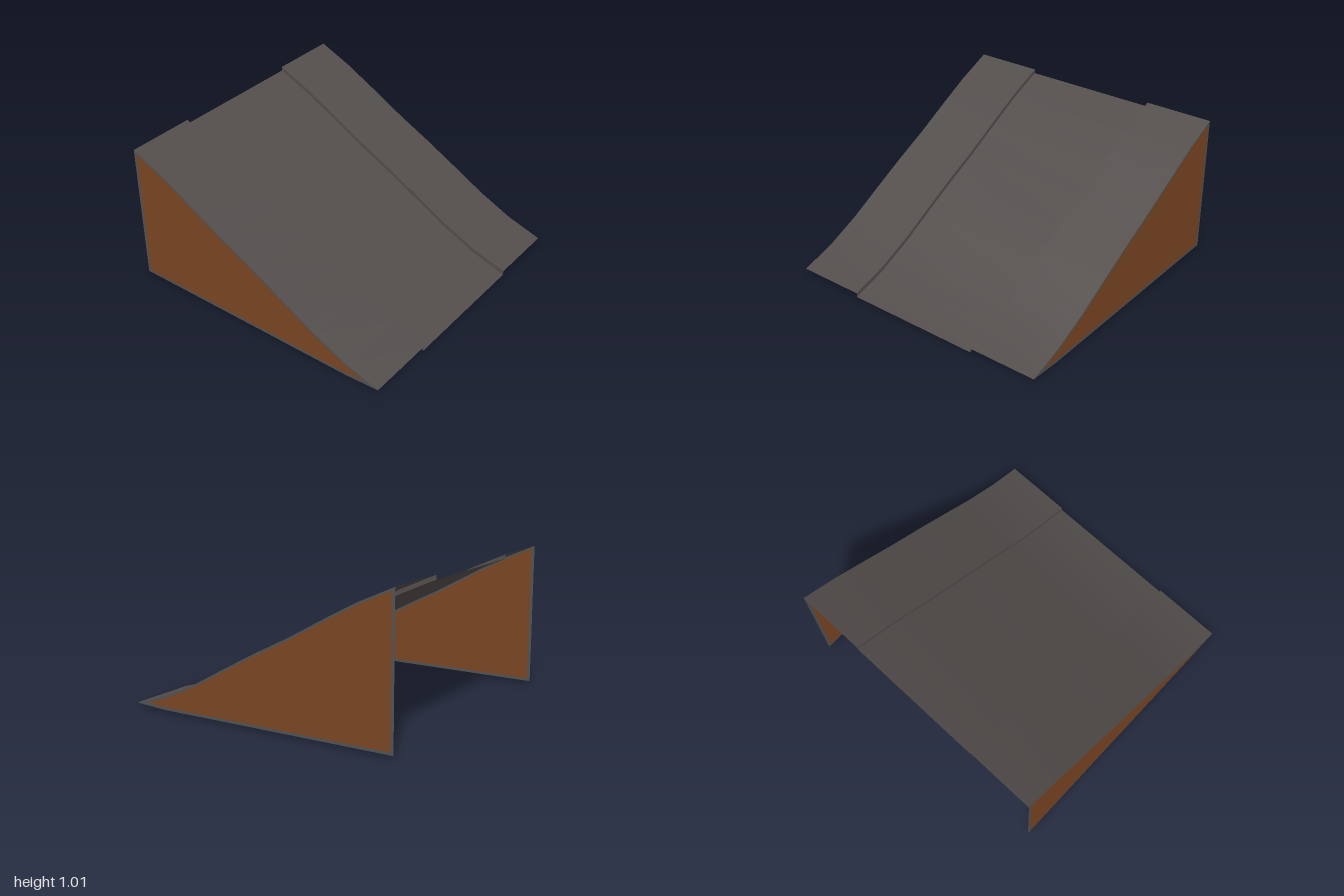
import * as THREE from 'three';

// Slope of the ramp's raised edge, from the high end to the low end
const slope = [[-1, 1.015], [-0.75, 0.902], [-0.5, 0.767], [-0.25, 0.627], [0, 0.5],
  [0.25, 0.364], [0.5, 0.225], [0.75, 0.11], [1, 0.03]];
const DROP = 0.03;   // how far the roadway sits below the shoulders
const TRIM = 0.015;  // width of the border on the side walls

// Sheet running down the slope between two long edges
function strip(zA, dropA, zB, dropB) {
  const pos = [], index = [];
  slope.forEach(([x, y], i) => {
    pos.push(x, y - dropA, zA, x, y - dropB, zB);
    if (i) {
      const a = 2 * i - 2;
      index.push(a, a + 1, a + 2, a + 1, a + 3, a + 2);
    }
  });
  const geo = new THREE.BufferGeometry();
  geo.setAttribute('position', new THREE.Float32BufferAttribute(pos, 3));
  geo.setIndex(index);
  geo.computeVertexNormals();
  return geo;
}

export function createModel() {
  const material = (name, color) =>
    new THREE.MeshStandardMaterial({ name, color, side: THREE.DoubleSide });
  const asphalt = material('asphalt grey', 0x524d4b);
  const trim = material('trim grey', 0x505254);
  const earth = material('earth brown', 0x7a4522);

  const model = new THREE.Group();
  model.name = 'ramp';
  const add = (name, geo, mat, z = 0) => {
    const mesh = new THREE.Mesh(geo, mat);
    mesh.name = name;
    mesh.position.z = z;
    model.add(mesh);
  };

  // Sunken roadway, raised shoulders and the small kerbs between them
  add('roadway', strip(-0.5, DROP, 0.5, DROP), asphalt);
  add('frontShoulder', strip(0.5, 0, 1, 0), asphalt);
  add('backShoulder', strip(-1, 0, -0.5, 0), asphalt);
  add('frontKerb', strip(0.5, DROP, 0.5, 0), asphalt);
  add('backKerb', strip(-0.5, 0, -0.5, DROP), asphalt);

  // Side walls: brown panel inside a grey border
  const points = (list) => list.map(([x, y]) => new THREE.Vector2(x, y));
  const outer = points([...slope, [0.75, 0.016], [-1, 0.016]]);
  const inner = points([
    [-0.98, 1.006 - TRIM],
    ...slope.slice(1, -1).map(([x, y]) => [x, y - TRIM]),
    [0.9, 0.045], [0.75, 0.034], [-0.98, 0.034],
  ]);
  const border = new THREE.Shape(outer);
  border.holes.push(new THREE.Path(inner));
  const borderGeo = new THREE.ShapeGeometry(border);
  const panelGeo = new THREE.ShapeGeometry(new THREE.Shape(inner));

  for (const [side, z] of [['front', 1], ['back', -1]]) {
    // Turn the back wall's faces outward
    const outward = (geo) => {
      const g = geo.clone();
      if (z < 0) {
        const idx = g.index.array;
        for (let i = 0; i < idx.length; i += 3) [idx[i], idx[i + 1]] = [idx[i + 1], idx[i]];
        g.computeVertexNormals();
      }
      return g;
    };
    add(side + 'WallBorder', outward(borderGeo), trim, z);
    add(side + 'WallPanel', outward(panelGeo), earth, z);
  }
  return model;
}
